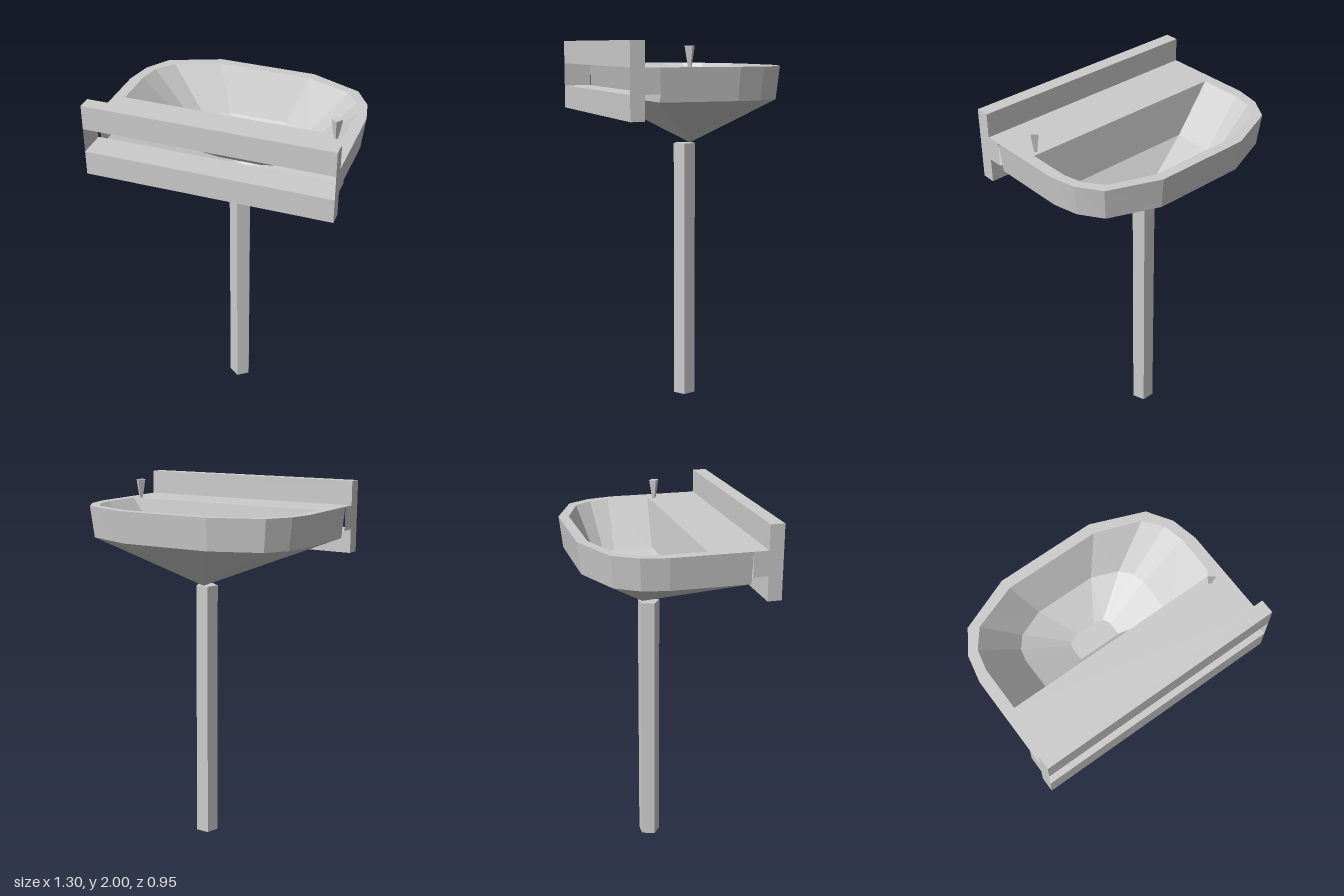
import * as THREE from 'three';

const material = new THREE.MeshStandardMaterial({
  color: 0xcccccc, flatShading: true, side: THREE.DoubleSide,
});

// Mirror a half outline of [x, z] pairs into a full loop at height y
function outline(half, y) {
  const left = half.map(([x, z]) => [x, y, z]);
  const right = half.map(([x, z]) => [-x, y, z]).reverse();
  return [...left, ...right];
}

// Skin successive loops that have equal point counts
function loft(loops, { closed = true, cap = false } = {}) {
  const n = loops[0].length;
  const index = [];
  for (let r = 0; r < loops.length - 1; r++) {
    for (let i = 0; i < (closed ? n : n - 1); i++) {
      const a = r * n + i, b = r * n + (i + 1) % n;
      index.push(a, a + n, b, b, a + n, b + n);
    }
  }
  if (cap) {
    const start = (loops.length - 1) * n;
    for (let i = 1; i < n - 1; i++) index.push(start, start + i + 1, start + i);
  }
  const geometry = new THREE.BufferGeometry();
  geometry.setAttribute('position', new THREE.Float32BufferAttribute(loops.flat(2), 3));
  geometry.setIndex(index);
  const flat = geometry.toNonIndexed();
  flat.computeVertexNormals();
  return flat;
}

export function createModel() {
  const group = new THREE.Group();
  const add = (name, geometry, x = 0, y = 0, z = 0) => {
    const mesh = new THREE.Mesh(geometry, material);
    mesh.name = name;
    mesh.position.set(x, y, z);
    group.add(mesh);
    return mesh;
  };

  const deckY = 1.87, floorY = 1.74, lipY = 1.70;
  const curve = [[0.65, -0.10], [0.62, -0.24], [0.54, -0.365], [0.265, -0.475]];
  const rim = [[0.59, 0.105], [0.59, -0.13], [0.565, -0.24], [0.49, -0.335], [0.255, -0.42]];
  const middle = [[0.37, 0.075], [0.37, -0.145], [0.355, -0.21], [0.305, -0.27], [0.165, -0.325]];
  const bottom = [[0.12, -0.02], [0.12, -0.09], [0.115, -0.11], [0.10, -0.13], [0.05, -0.145]];

  // Flat deck around the bowl, and the bowl itself
  add('deck', loft([outline([[0.65, 0.40], ...curve], deckY), outline(rim, deckY)]));
  add('bowl', loft([outline(rim, deckY), outline(middle, 1.63), outline(bottom, 1.53)], { cap: true }));

  // Hollow outer shell, open towards the wall slot
  const upper = outline([[0.65, 0.32], ...curve], deckY);
  const lower = outline([[0.65, 0.32], ...curve].map(([x, z]) => [x * 0.97, z > 0 ? z : z * 0.96]), lipY);
  add('outerWall', loft([lower, upper], { closed: false }));
  const apex = lower.map(() => [0, 1.44, -0.075]);
  add('underside', loft([apex, lower]));

  // Step between the underside and the wall bracket
  add('rearStep', loft([
    [[-0.63, lipY, 0.32], [0.63, lipY, 0.32]],
    [[-0.65, floorY, 0.32], [0.65, floorY, 0.32]],
    [[-0.65, floorY, 0.40], [0.65, floorY, 0.40]],
  ], { closed: false }));

  // Two wall rails joined by thin end plates
  for (const [name, y] of [['upperRail', 1.935], ['lowerRail', 1.675]]) {
    add(name, new THREE.BoxGeometry(1.3, 0.13, 0.075), 0, y, 0.4375);
  }
  for (const side of [-1, 1]) {
    const plate = add('endPlate', new THREE.PlaneGeometry(0.155, deckY - floorY),
      side * 0.65, (deckY + floorY) / 2, 0.3975);
    plate.rotation.y = side * Math.PI / 2;
  }

  // Small tapered tap
  const tap = add('tap', new THREE.CylinderGeometry(0.029, 0.009, 0.115, 4), 0.556, 1.9175, 0.136);
  tap.rotation.y = 0.13;

  // Five-sided pedestal
  add('pedestal', new THREE.CylinderGeometry(0.062, 0.062, 1.44, 5), 0, 0.72, -0.041);

  return group;
}
